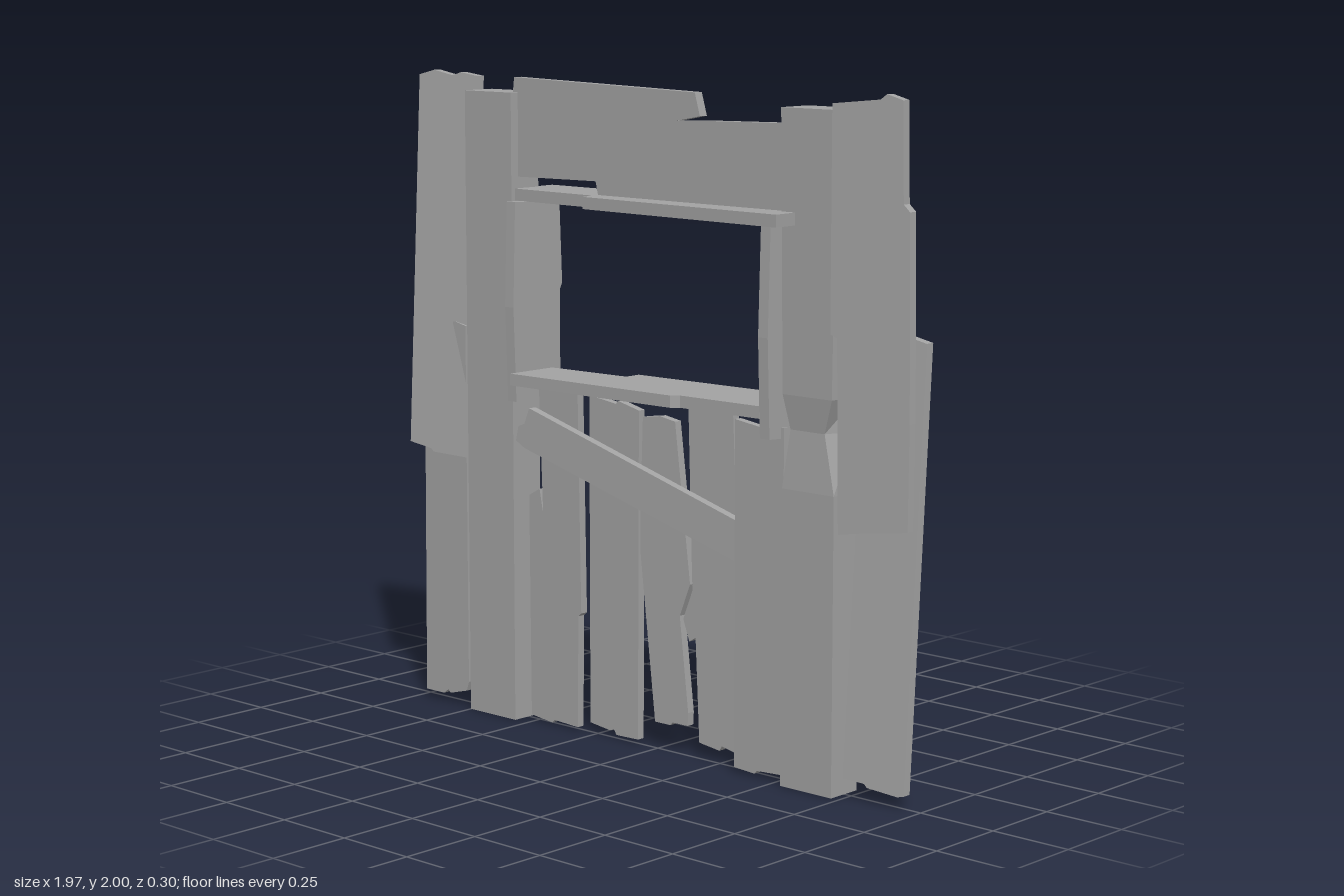
import * as THREE from 'three';

const wood = new THREE.MeshStandardMaterial({ color: 0xa2a2a2 });
wood.name = 'weathered wood';

export function createModel() {
  const model = new THREE.Group();
  model.name = 'boardedWallFrame';

  function add(name, geometry) {
    const flat = geometry.index ? geometry.toNonIndexed() : geometry;
    flat.computeVertexNormals();
    const mesh = new THREE.Mesh(flat, wood);
    mesh.name = name;
    model.add(mesh);
  }

  function slab(points, depth) {
    const shape = new THREE.Shape(points.map(([x, y]) => new THREE.Vector2(x, y)));
    return new THREE.ExtrudeGeometry(shape, { depth, bevelEnabled: false }).translate(0, 0, -depth / 2);
  }

  // Upright board: its outline is drawn in x and y, its middle depth follows zAt(x, y)
  function board(name, points, thick, zAt) {
    const g = slab(points, thick);
    const p = g.attributes.position;
    for (let i = 0; i < p.count; i++) p.setZ(i, p.getZ(i) + zAt(p.getX(i), p.getY(i)));
    add(name, g);
  }

  // Flat shelf: its outline is drawn in x and z
  function shelf(name, points, y, thick) {
    add(name, slab(points, thick).rotateX(Math.PI / 2).translate(0, y, 0));
  }

  // Posts
  add('rightPost', new THREE.BoxGeometry(0.2, 1.945, 0.115).translate(-0.65, 0.9725, 0.0025));
  const post = new THREE.BoxGeometry(0.19, 4, 0.115, 1, 4, 1);
  const rings = [0, 0.87, 1.04, 1.14, 1.945];
  const pp = post.attributes.position;
  for (let i = 0; i < pp.count; i++) {
    const ring = Math.round(pp.getY(i) + 2);
    const outer = pp.getX(i) > 0, front = pp.getZ(i) > 0;
    let x = 0.63 + pp.getX(i), z = 0.0025 + pp.getZ(i);
    if (ring === 2) { // worn waist
      x += outer ? (front ? -0.045 : -0.012) : 0.02;
      z += front ? -0.012 : 0.012;
    }
    if (ring === 3 && outer) x -= 0.01;
    if (ring === 4 && !outer) x -= 0.012;
    pp.setXYZ(i, x, rings[ring], z);
  }
  add('leftPost', post);

  // Header board with broken ends
  board('headerBoard', [
    [-0.57, 1.95], [-0.565, 1.99], [0.18, 1.972], [0.2, 1.905], [0.11, 1.888], [0.2, 1.892], [0.54, 1.9],
    [0.54, 1.655], [-0.21, 1.655], [-0.22, 1.695], [-0.56, 1.69],
  ], 0.03, (x) => 0.022 + 0.012 * x);

  // Sill and lintel shelves
  shelf('lintelShelf', [
    [-0.565, -0.13], [0.22, -0.125], [0.23, -0.1], [0.57, -0.095], [0.58, 0.145],
    [-0.2, 0.11], [-0.21, 0.06], [-0.555, 0.045],
  ], 1.637, 0.036);
  shelf('sillShelf', [
    [-0.5, -0.06], [-0.2, -0.075], [-0.2, -0.13], [0.46, -0.155], [0.47, 0.085],
    [0.17, 0.09], [0.15, 0.11], [-0.5, 0.12],
  ], 1.083, 0.036);

  // Jambs: outlines in z and y, turned to face across the opening
  const jamb = [[-0.1, 1.61], [-0.11, 1.36], [-0.1, 1.34], [-0.1, 1.0], [0.09, 1.01], [0.1, 1.3], [0.09, 1.62]];
  for (const [name, x] of [['rightJamb', -0.522], ['leftJamb', 0.495]]) {
    add(name, slab(jamb, 0.036).rotateY(-Math.PI / 2).translate(x, 0, 0));
  }

  // Broken upright planks under the sill
  board('lowerPlank1', [
    [-0.52, 0.015], [-0.43, 0.005], [-0.42, 0.015], [-0.32, 0.01], [-0.315, 0.36], [-0.303, 0.37],
    [-0.315, 1.06], [-0.48, 1.055], [-0.465, 0.66], [-0.48, 0.735], [-0.525, 0.71],
  ], 0.025, () => 0.005);
  board('lowerPlank2', [
    [-0.28, 0.03], [-0.2, 0.02], [-0.18, 0.025], [-0.17, 0.01], [-0.08, 0.012],
    [-0.075, 1.02], [-0.16, 1.04], [-0.17, 1.03], [-0.28, 1.045],
  ], 0.025, () => -0.01);
  board('lowerPlank3', [
    [-0.012, 0.08], [0.05, 0.08], [0.06, 0.09], [0.12, 0.09], [0.122, 0.13], [0.085, 0.42],
    [0.125, 0.52], [0.06, 1.0], [0, 1.01], [-0.07, 1.0], [-0.08, 0.62],
  ], 0.025, (x, y) => -0.012 - 0.01 * y);
  board('lowerPlank4', [
    [0.16, 0.045], [0.24, 0.035], [0.25, 0.05], [0.33, 0.035], [0.33, 0.15], [0.275, 1.06],
    [0.1, 1.06], [0.125, 0.5], [0.09, 0.41], [0.115, 0.345], [0.14, 0.36],
  ], 0.025, (x, y) => -0.02 - 0.015 * y);
  board('lowerPlank5', [
    [0.34, 0.015], [0.42, 0.01], [0.43, 0.02], [0.52, 0.025], [0.525, 1.04], [0.45, 1.03], [0.34, 1.045],
  ], 0.025, () => 0.028);

  // Slanting brace, in front at one end and behind at the other
  board('slantingBrace', [
    [-0.535, 0.885], [-0.525, 0.93], [-0.5, 0.94], [-0.48, 0.99], [0.5, 0.69], [0.48, 0.575], [-0.5, 0.865],
  ], 0.028, (x) => 0.022 - 0.05 * x);

  // Outer planks on the model's right
  board('rightLowerPlank', [
    [-0.97, 0.025], [-0.89, 0.025], [-0.87, 0.04], [-0.86, 0.03], [-0.785, 0.05], [-0.775, 0.08],
    [-0.775, 1.215], [-0.82, 1.225], [-0.96, 1.2],
  ], 0.028, () => 0.03);
  board('rightUpperPlank', [
    [-0.98, 0.835], [-0.9, 0.82], [-0.89, 0.81], [-0.76, 0.803], [-0.758, 1.6], [-0.768, 1.63],
    [-0.765, 1.985], [-0.83, 1.995], [-0.86, 1.985], [-0.93, 2.0], [-0.985, 1.985],
  ], 0.026, (x, y) => 0.06 - 0.18 * (x + 0.87) - 0.055 * (y - 0.82));

  // Outer planks on the model's left
  board('leftLowerPlank', [
    [0.75, 0.06], [0.82, 0.055], [0.83, 0.045], [0.93, 0.035], [0.95, 0.04], [0.955, 1.31],
    [0.87, 1.33], [0.86, 1.32], [0.76, 1.33],
  ], 0.028, (x, y) => 0.015 - 0.12 * (x - 0.855) - 0.056 * y);
  board('leftUpperPlank', [
    [0.76, 0.77], [0.82, 0.78], [0.98, 0.8], [0.982, 1.1], [0.975, 1.68], [0.955, 1.7], [0.95, 1.98],
    [0.9, 1.995], [0.88, 1.98], [0.73, 1.965], [0.73, 1.33], [0.752, 1.32],
  ], 0.026, (x) => 0.056 - 0.15 * (x - 0.855));

  return model;
}
